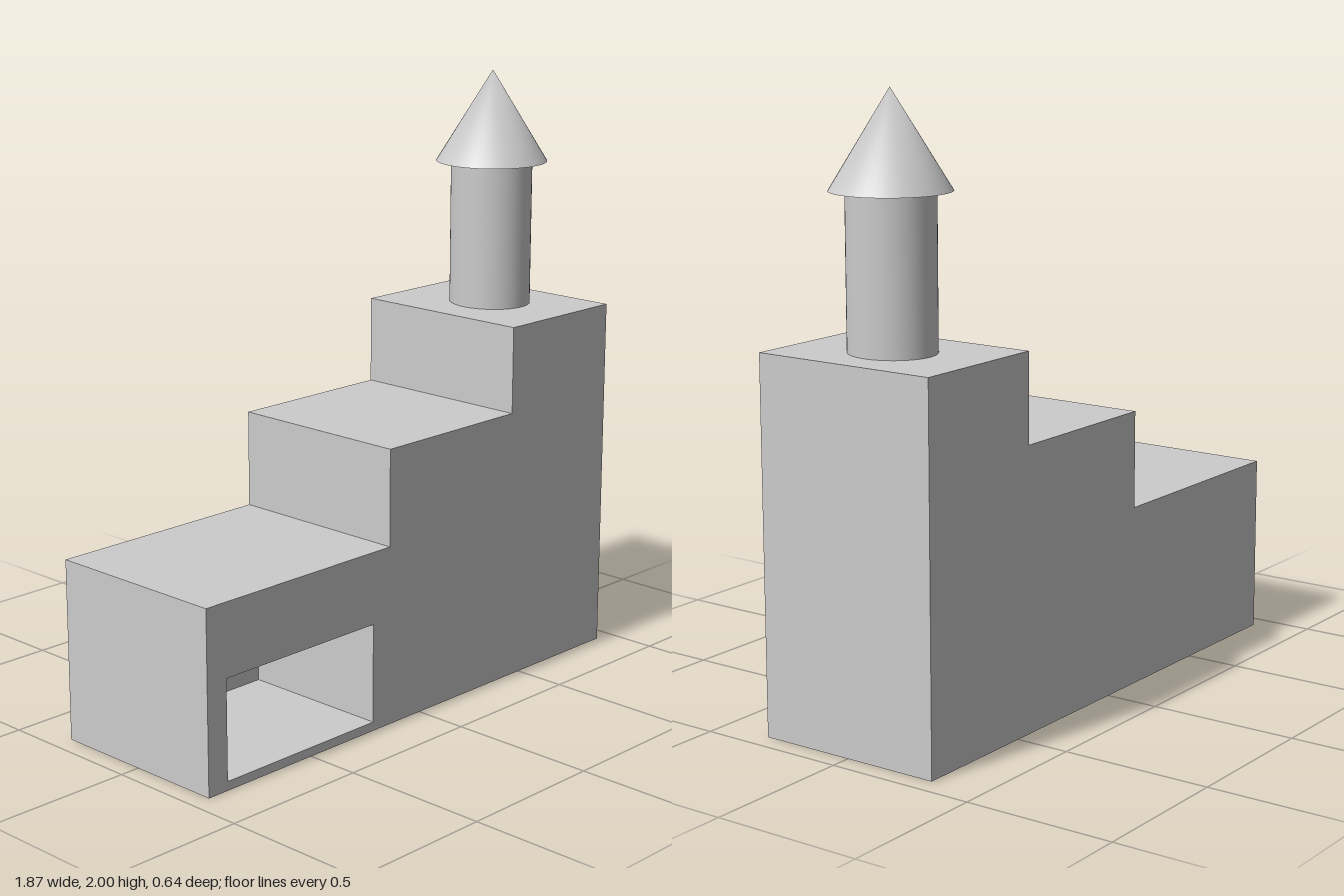
import * as THREE from 'three';
import { mergeVertices } from 'three/addons/utils/BufferGeometryUtils.js';

const BACK = -0.32, FRONT = 0.32, RECESS_BACK = -0.205;
const TOWER_X = 0.695;

// Outline of the three-step body, seen from the front
function steppedShape() {
  return new THREE.Shape([
    [-0.933, 0], [0.933, 0], [0.933, 1.21], [0.443, 1.21],
    [0.443, 0.92], [-0.145, 0.92], [-0.145, 0.6], [-0.933, 0.6],
  ].map(([x, y]) => new THREE.Vector2(x, y)));
}

function slab(shape, z0, z1) {
  const geometry = new THREE.ExtrudeGeometry(shape, { depth: z1 - z0, bevelEnabled: false });
  return geometry.translate(0, 0, z0);
}

// Cone side with shared vertices, so its shading rounds over the tip
function roofSide(radius, height) {
  const geometry = new THREE.ConeGeometry(radius, height, 48, 1, true);
  geometry.deleteAttribute('normal');
  geometry.deleteAttribute('uv');
  const merged = mergeVertices(geometry);
  merged.computeVertexNormals();
  return merged;
}

export function createModel() {
  const model = new THREE.Group();
  const material = new THREE.MeshStandardMaterial({ color: 0xcccccc });
  const add = (parent, name, geometry, x = 0, y = 0, z = 0) => {
    const mesh = new THREE.Mesh(geometry, material);
    mesh.name = name;
    mesh.position.set(x, y, z);
    parent.add(mesh);
    return mesh;
  };

  // Stepped body: a front slab pierced by the opening, closed by a back slab
  const body = new THREE.Group();
  body.name = 'steppedBody';
  model.add(body);
  const pierced = steppedShape();
  pierced.holes.push(new THREE.Path([
    [-0.855, 0.03], [-0.855, 0.36], [-0.22, 0.36], [-0.22, 0.03],
  ].map(([x, y]) => new THREE.Vector2(x, y))));
  add(body, 'bodyWithOpening', slab(pierced, RECESS_BACK, FRONT));
  add(body, 'backWall', slab(steppedShape(), BACK, RECESS_BACK));

  // Round tower, slightly narrower across x
  const tower = add(model, 'towerColumn',
    new THREE.CylinderGeometry(0.141, 0.141, 0.5, 48), TOWER_X, 1.45, 0);
  tower.scale.x = 0.93;

  // Pointed roof with a flat underside
  const roof = new THREE.Group();
  roof.name = 'towerRoof';
  roof.position.set(TOWER_X, 1.695, 0);
  model.add(roof);
  add(roof, 'roofCone', roofSide(0.187, 0.305), 0, 0.1525, 0);
  add(roof, 'roofUnderside', new THREE.CircleGeometry(0.187, 48).rotateX(Math.PI / 2));

  return model;
}
